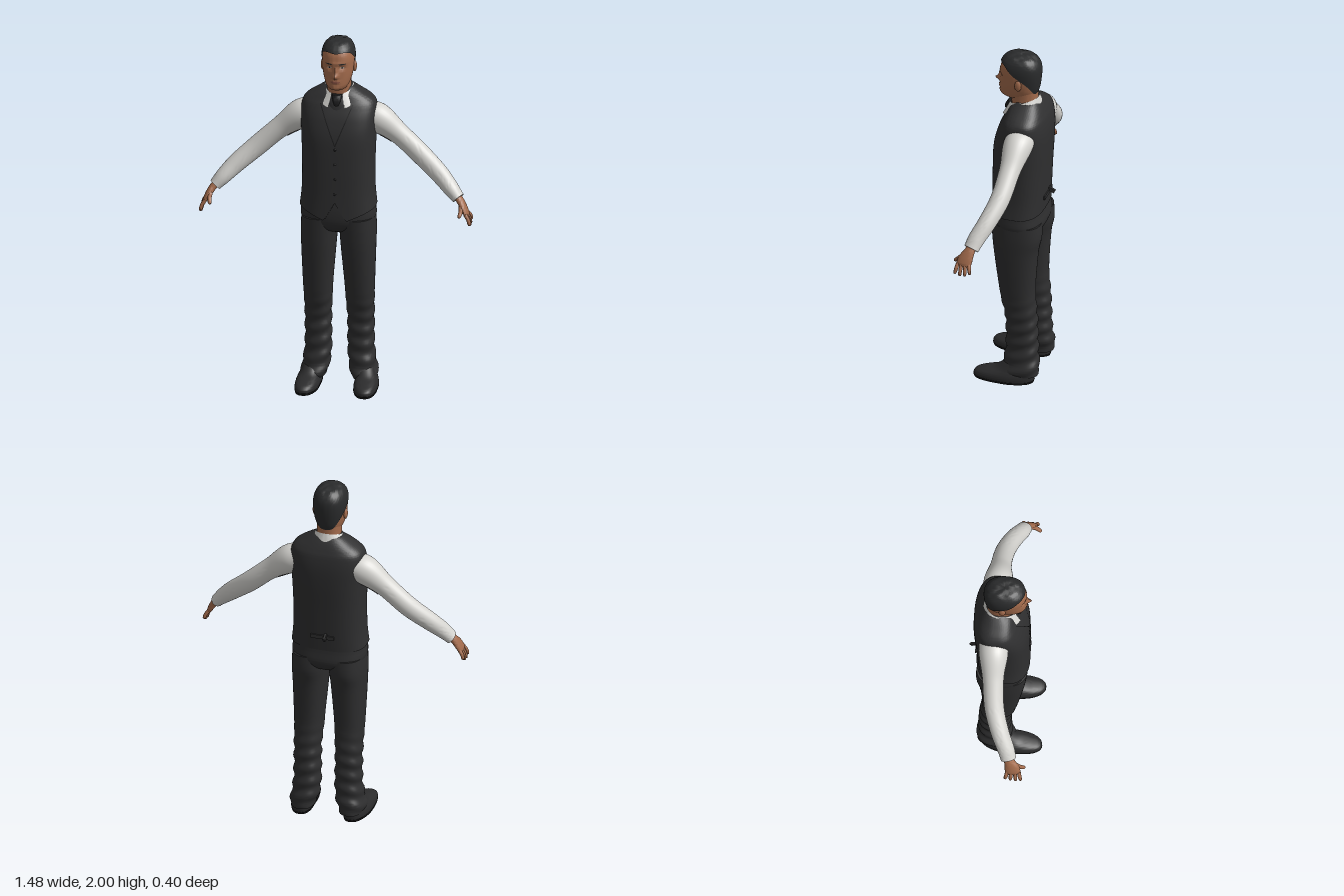
import * as THREE from 'three';
import { toCreasedNormals } from 'three/addons/utils/BufferGeometryUtils.js';

const mat = (name, color) => Object.assign(new THREE.MeshStandardMaterial({ color }), { name });
const M = {
  skin: mat('skin', 0xa36b4c), lips: mat('lips', 0x8a5344), hair: mat('hair', 0x2a2b2c),
  shirt: mat('shirt', 0xd4d3cf), vest: mat('vest', 0x2f2f30), trousers: mat('trousers', 0x2e2e2f),
  shoes: mat('shoes', 0x2b2b2c), sole: mat('sole', 0x141414), trim: mat('trim', 0x1c1c1d),
  eye: mat('eyeWhite', 0xb5a79c),
};
M.shirt.side = M.vest.side = M.hair.side = THREE.DoubleSide;

const TAU = Math.PI * 2, { lerp } = THREE.MathUtils;
const pow = (v, p) => Math.sign(v) * Math.abs(v) ** p;
const gauss = (x, y, cx, cy, sx, sy) => Math.exp(-(((x - cx) / sx) ** 2) - ((y - cy) / sy) ** 2);

// Smooth interpolation of table rows at fractional row index t
function sample(rows, t) {
  const n = rows.length - 1, i = Math.min(Math.floor(t), n - 1), f = t - i;
  const at = k => rows[Math.max(0, Math.min(n, k))];
  return rows[0].map((_, c) => {
    const [a, b, d, e] = [at(i - 1)[c], at(i)[c], at(i + 1)[c], at(i + 2)[c]];
    return b + 0.5 * f * (d - a + f * (2 * a - 5 * b + 4 * d - e + f * (3 * (b - d) + e - a)));
  });
}
// Row at a given height
function atHeight(rows, y) {
  let i = 0;
  while (i < rows.length - 2 && rows[i + 1][0] < y) i++;
  const f = (y - rows[i][0]) / (rows[i + 1][0] - rows[i][0]);
  return sample(rows, i + Math.max(0, Math.min(1, f)));
}
// Surface grid from fn(u, v) -> [x, y, z]
function grid(nu, nv, fn, crease = 1) {
  const pos = [], idx = [], w = nu + 1;
  for (let j = 0; j <= nv; j++) for (let i = 0; i <= nu; i++) pos.push(...fn(i / nu, j / nv));
  for (let j = 0; j < nv; j++) for (let i = 0; i < nu; i++) {
    const a = j * w + i;
    idx.push(a, a + 1, a + w + 1, a, a + w + 1, a + w);
  }
  const g = new THREE.BufferGeometry();
  g.setAttribute('position', new THREE.Float32BufferAttribute(pos, 3));
  g.setIndex(idx);
  return toCreasedNormals(g, crease);
}
// Horizontal section [y, centreX, halfWidth, zFront, zBack]; angle 0 faces the front
function section([y, cx, hw, zf, zb], a, n) {
  return [cx + Math.max(0, hw) * pow(Math.sin(a), 2 / n), y,
    (zf + zb) / 2 + Math.max(0, (zf - zb) / 2) * pow(Math.cos(a), 2 / n)];
}
function frontZ(rows, x, y, n) {
  const [, cx, hw, zf, zb] = atHeight(rows, y), q = Math.min(1, Math.abs((x - cx) / hw));
  return (zf + zb) / 2 + (zf - zb) / 2 * (1 - q ** n) ** (1 / n);
}
// Capped loft through horizontal sections, with an optional rule that moves each point
function loft(rows, { n = 2.4, nu = 40, nv = 40, rule = p => p } = {}) {
  return grid(nu, nv + 2, (u, v) => {
    const j = Math.round(v * (nv + 2)), k = Math.max(0, Math.min(nv, j - 1)) / nv;
    const r = sample(rows, k * (rows.length - 1));
    if (j === 0 || j === nv + 2) return [r[1], r[0], (r[3] + r[4]) / 2];
    return rule(section(r, u * TAU, n));
  });
}
// Tube along rows [x, y, z, halfDepth, halfThickness]
function limb(rows, { a0 = 0, a1 = TAU, nu = 24, nv = 24 } = {}) {
  const curve = new THREE.CatmullRomCurve3(rows.map(r => new THREE.Vector3(r[0], r[1], r[2])));
  const full = a1 - a0 > 6;
  return grid(nu, nv + 2, (u, v) => {
    const j = Math.round(v * (nv + 2)), k = Math.max(0, Math.min(nv, j - 1)) / nv;
    const r = sample(rows, k * (rows.length - 1)), c = curve.getPoint(k), t = curve.getTangent(k);
    if (full && (j === 0 || j === nv + 2)) return c.toArray();
    const b = new THREE.Vector3(0, 0, 1).addScaledVector(t, -t.z).normalize();
    const s = new THREE.Vector3().crossVectors(t, b), a = lerp(a0, a1, u);
    return c.addScaledVector(b, r[3] * Math.cos(a)).addScaledVector(s, r[4] * Math.sin(a)).toArray();
  });
}
function mirrored(geo) {
  const g = geo.index ? geo.toNonIndexed() : geo.clone();
  g.scale(-1, 1, 1);
  for (const k of ['position', 'normal']) {
    const a = g.attributes[k].array;
    for (let i = 0; i < a.length; i += 9) for (let c = 0; c < 3; c++)
      [a[i + 3 + c], a[i + 6 + c]] = [a[i + 6 + c], a[i + 3 + c]];
  }
  return g;
}
const ball = (x, y, z, rx, ry, rz) => new THREE.SphereGeometry(1, 20, 14).scale(rx, ry, rz).translate(x, y, z);

const HEAD = [
  [1.722, 0, 0.04, 0.06, -0.08], [1.735, 0, 0.052, 0.092, -0.09], [1.755, 0, 0.064, 0.104, -0.1],
  [1.785, 0, 0.074, 0.104, -0.11], [1.82, 0, 0.081, 0.102, -0.115], [1.86, 0, 0.085, 0.1, -0.119],
  [1.9, 0, 0.086, 0.1, -0.12], [1.93, 0, 0.082, 0.094, -0.116], [1.955, 0, 0.073, 0.08, -0.104],
  [1.973, 0, 0.058, 0.06, -0.086], [1.984, 0, 0.038, 0.034, -0.06], [1.989, 0, 0, -0.012, -0.012]];
const VEST = [
  [1.05, 0, 0.207, 0.128, -0.158], [1.15, 0, 0.197, 0.126, -0.163], [1.3, 0, 0.196, 0.125, -0.17],
  [1.45, 0, 0.201, 0.119, -0.178], [1.55, 0, 0.206, 0.096, -0.178], [1.62, 0, 0.201, 0.067, -0.168],
  [1.655, 0, 0.178, 0.048, -0.154], [1.69, 0, 0.125, 0.03, -0.135], [1.718, 0, 0.08, 0, -0.115]];

// Nose, sockets, brow, lips and chin
const relief = (x, y) => 0.028 * gauss(x, y, 0, 1.817, 0.014, 0.013) + 0.014 * gauss(x, y, 0, 1.847, 0.011, 0.028)
  - 0.011 * gauss(Math.abs(x), y, 0.034, 1.863, 0.017, 0.012) + 0.005 * gauss(x, y, 0, 1.888, 0.05, 0.01)
  + 0.007 * gauss(x, y, 0, 1.784, 0.022, 0.008) + 0.007 * gauss(x, y, 0, 1.748, 0.02, 0.012);
const faceZ = (x, y) => frontZ(HEAD, x, y, 2.3) + relief(x, y);
// Thin lens-shaped patch lying on a front surface
const patch = (x0, x1, y, h, zf, lift = 0.0015) => grid(12, 4, (u, v) => {
  const x = lerp(x0, x1, u), yy = y + h * (v - 0.5) * (0.3 + 0.7 * Math.sin(u * Math.PI));
  return [x, yy, zf(x, yy) + lift];
});

export function createModel() {
  const model = new THREE.Group();
  const add = (name, geo, m) => {
    const mesh = new THREE.Mesh(geo, m);
    mesh.name = name;
    model.add(mesh);
  };
  const pair = (name, geo, m) => { add(name + 'Left', geo, m); add(name + 'Right', mirrored(geo), m); };

  // Head and face
  add('head', loft(HEAD, { n: 2.3, nu: 88, nv: 72,
    rule: ([x, y, z]) => [x, y, z > 0.03 ? z + relief(x, y) : z] }), M.skin);
  add('neck', loft([[1.62, 0, 0.075, 0.035, -0.12], [1.69, 0, 0.066, 0.036, -0.108],
    [1.74, 0, 0.064, 0.04, -0.106], [1.8, 0, 0.066, 0.05, -0.106]], { nv: 12 }), M.skin);
  pair('ear', ball(0.087, 1.838, -0.022, 0.011, 0.032, 0.019), M.skin);
  pair('eye', patch(0.022, 0.047, 1.863, 0.01, faceZ), M.eye);
  pair('iris', patch(0.0295, 0.0395, 1.863, 0.009, faceZ, 0.003), M.trim);
  pair('eyebrow', patch(0.017, 0.056, 1.886, 0.008, faceZ), M.hair);
  add('mouth', patch(-0.025, 0.025, 1.784, 0.014, faceZ), M.lips);

  // Short hair: hairline falls from forehead to nape
  const hairline = [1.943, 1.948, 1.935, 1.885, 1.835, 1.775, 1.76].map(y => [y]);
  add('hair', grid(72, 28, (u, v) => {
    const a = u * TAU, [h] = sample(hairline, 6 * Math.min(u, 1 - u) * 2);
    const y = lerp(h, 1.997, Math.sin(v * Math.PI / 2));
    const [x, , z] = section(atHeight(HEAD, y - 0.008), a, 2.3);
    const tuft = 0.005 * v * v * Math.sin(x * 130 + 1) * Math.sin(z * 95);
    return [x * 1.06, y + tuft, -0.012 + (z + 0.012) * 1.06];
  }), M.hair);

  // Vest with pointed front hem
  add('vest', loft(VEST, { n: 2.7, nu: 120, nv: 60, rule: ([x, y, z]) => {
    const ax = Math.abs(x), w = Math.max(0, 1 - (y - 1.05) / 0.12);
    const d = ax < 0.06 ? lerp(0.045, -0.06, ax / 0.06) : lerp(-0.06, 0, (ax - 0.06) / 0.147);
    return [x, z > 0 ? y + d * w : y, z];
  } }), M.vest);
  const vestZ = (x, y) => frontZ(VEST, x, y, 2.7);
  pair('lapelEdge', grid(2, 24, (u, v) => {
    const x = lerp(0, 0.088, v) + (u - 0.5) * 0.006, y = lerp(1.42, 1.64, v);
    return [x, y, vestZ(x, y) + 0.003];
  }), M.trim);
  for (let i = 0; i < 4; i++) {
    const y = 1.4 - i * 0.085;
    add('button' + i, ball(0, y, vestZ(0, y), 0.007, 0.007, 0.004), M.trim);
  }
  add('backStrap', new THREE.BoxGeometry(0.13, 0.022, 0.008).translate(0, 1.135, -0.165), M.vest);
  add('strapEnd', new THREE.BoxGeometry(0.012, 0.022, 0.04).rotateX(-0.5).translate(-0.02, 1.142, -0.178), M.vest);

  // Shirt collar and tie
  add('collar', grid(64, 8, (u, v) => {
    const a = lerp(0.42, TAU - 0.42, u), f = (1 + Math.cos(a)) / 2, f2 = f * f;
    const y = lerp(1.692 - 0.075 * f2, 1.745 - 0.05 * f, v);
    return [lerp(0.108, 0.072, v) * Math.sin(a), y, lerp(-0.022, -0.033, v) + lerp(0.108, 0.08, v) * Math.cos(a)];
  }), M.shirt);
  add('tieKnot', loft([[1.635, 0, 0.012, 0.078, 0.04], [1.66, 0, 0.022, 0.076, 0.03],
    [1.692, 0, 0.03, 0.058, 0.02]], { nv: 10, nu: 20 }), M.trim);
  add('shirtFront', loft([[1.6, 0, 0.05, 0.074, 0], [1.65, 0, 0.058, 0.062, 0],
    [1.685, 0, 0.05, 0.045, 0]], { nv: 8, nu: 24 }), M.vest);

  // Sleeves with dark underarm panels
  const SLEEVE = [[0.14, 1.56, -0.065, 0.076, 0.07], [0.21, 1.53, -0.06, 0.079, 0.08], [0.32, 1.45, -0.055, 0.058, 0.058],
    [0.45, 1.335, -0.04, 0.053, 0.055], [0.56, 1.24, 0, 0.049, 0.05], [0.625, 1.175, 0.035, 0.046, 0.042],
    [0.662, 1.135, 0.05, 0.042, 0.034]];
  pair('sleeve', limb(SLEEVE, { nu: 32, nv: 44 }), M.shirt);
  pair('underarm', limb(SLEEVE.slice(1, 3).map(([x, y, z, b, a]) => [x, y, z, b + 0.003, a + 0.003]),
    { a0: 1.1, a1: 2.1, nu: 8, nv: 8 }), M.vest);

  // Hands
  pair('palm', limb([[0.64, 1.16, 0.045, 0.026, 0.02], [0.672, 1.125, 0.056, 0.029, 0.02], [0.694, 1.09, 0.07, 0.04, 0.018],
    [0.71, 1.06, 0.078, 0.041, 0.014], [0.716, 1.048, 0.08, 0.034, 0.008]]), M.skin);
  const finger = (x, y, z, dx, dy, dz, r) => limb([0, 0.45, 0.85, 0.96, 1].map((t, i) => {
    const q = r * [1, 1, 0.85, 0.6, 0.2][i];
    return [x + dx * t + 0.006 * Math.sin(t * Math.PI), y + dy * t, z + dz * t, q, q];
  }), { nu: 10, nv: 12 });
  [[0.047, -0.048, -0.012], [0.068, -0.064, -0.004], [0.089, -0.068, 0.004], [0.109, -0.058, 0.012]].forEach(
    ([z, dy, dz], i) => pair('finger' + i, finger(0.708, 1.063, z, 0.024, dy, dz, 0.0105), M.skin));
  pair('thumb', finger(0.68, 1.105, 0.085, -0.004, -0.052, 0.055, 0.012), M.skin);

  // Trousers: hips and legs, creased below the knee
  add('hips', loft([[0.9, 0, 0.05, 0.05, -0.1], [0.925, 0, 0.14, 0.095, -0.14], [0.97, 0, 0.198, 0.117, -0.163],
    [1.04, 0, 0.201, 0.122, -0.156], [1.13, 0, 0.19, 0.115, -0.15]], { n: 2.6 }), M.trousers);
  pair('leg', loft([[0.045, 0.138, 0.066, 0.05, -0.15], [0.07, 0.136, 0.071, 0.055, -0.156], [0.12, 0.126, 0.073, 0.04, -0.152],
    [0.2, 0.117, 0.071, 0.03, -0.145], [0.3, 0.116, 0.07, 0.029, -0.142], [0.4, 0.116, 0.071, 0.034, -0.138],
    [0.5, 0.114, 0.076, 0.057, -0.13], [0.6, 0.113, 0.081, 0.073, -0.128], [0.8, 0.108, 0.093, 0.1, -0.142],
    [0.9, 0.105, 0.098, 0.11, -0.16], [0.99, 0.1, 0.1, 0.117, -0.158]], { nu: 40, nv: 90, rule: ([x, y, z]) => {
    const w = 0.004 * Math.max(0, Math.min(1, (0.55 - y) * 6)) * Math.sin(y * 75 + z * 18 + x * 14);
    return [x + w * Math.sign(x - 0.12) * Math.min(1, Math.abs(x - 0.12) * 20), y, z + w * Math.sign(z + 0.055) * Math.min(1, Math.abs(z + 0.055) * 15)];
  } }), M.trousers);

  // Shoes, toes turned slightly out
  const toeOut = ([x, y, z]) => [x + 0.11 * z - 0.012 * Math.sin(Math.max(0, z) * 8), y, z];
  pair('shoe', loft([[0.012, 0.157, 0.064, 0.198, -0.132], [0.03, 0.157, 0.065, 0.197, -0.134], [0.046, 0.157, 0.062, 0.178, -0.134],
    [0.06, 0.156, 0.057, 0.135, -0.132], [0.078, 0.152, 0.053, 0.075, -0.13], [0.12, 0.142, 0.048, 0.02, -0.125]],
  { nu: 40, nv: 24, rule: toeOut }), M.shoes);
  pair('sole', loft([[0, 0.157, 0.063, 0.196, -0.13], [0.013, 0.157, 0.066, 0.2, -0.134]],
    { nu: 40, nv: 2, rule: toeOut }), M.sole);

  return model;
}
